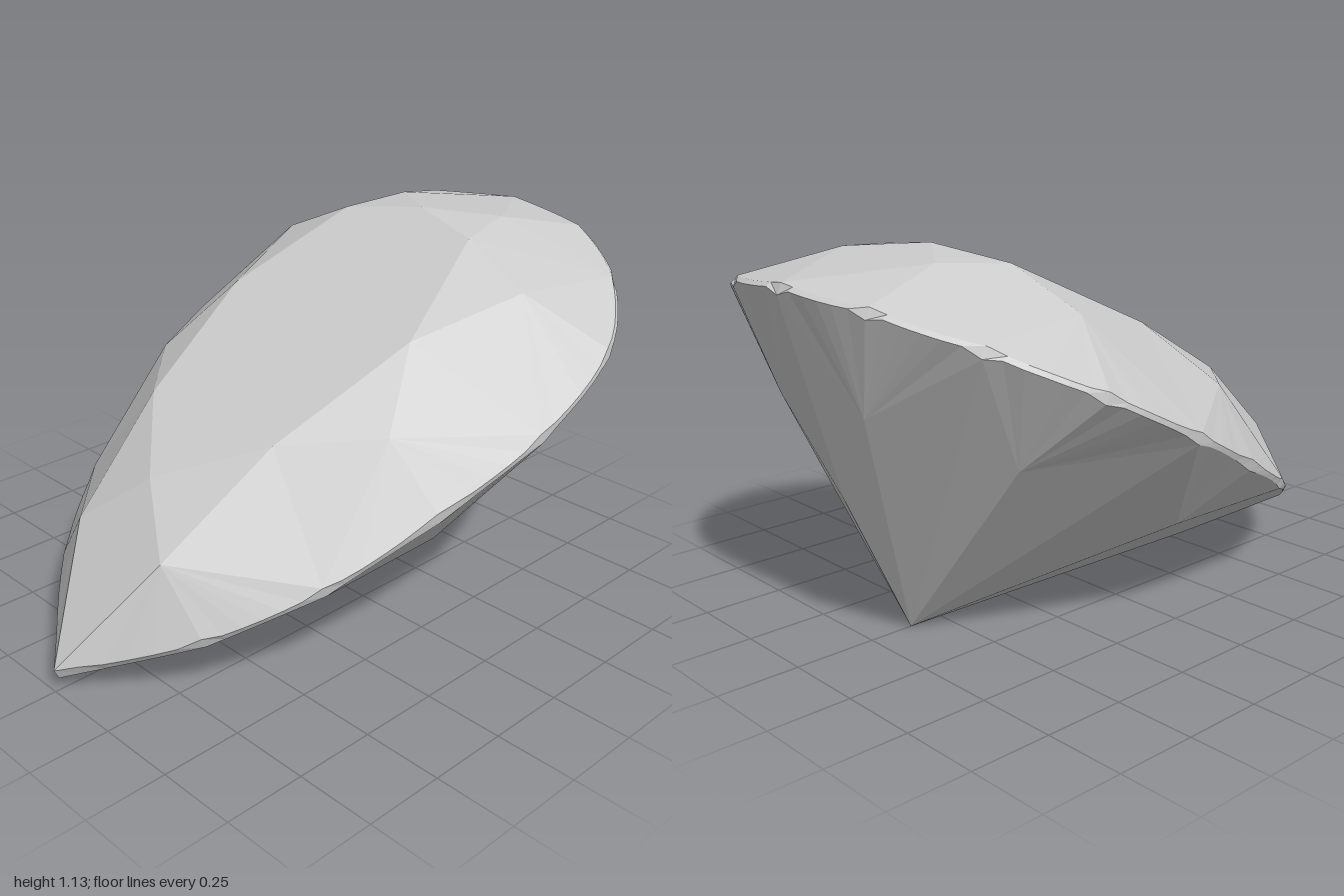
import * as THREE from 'three';

const V = (x, y, z) => new THREE.Vector3(x, y, z);
const CENTRE = V(0.25, 0.65, 0);
const STEPS = 6; // rim subdivisions per half facet

// Half outline of the pear (x, z), from the point round to the blunt end
const OUTLINE = [[-0.9925, 0], [-0.72, 0.33], [-0.45, 0.53], [-0.13, 0.66], [0.2, 0.75],
  [0.53, 0.73], [0.78, 0.56], [0.94, 0.31], [0.9925, 0]];

// Table corners, one above each main facet
const TABLE = [[-0.63, 0], [-0.4, 0.27], [0.04, 0.38], [0.43, 0.26], [0.5, 0]]
  .map(([x, z]) => V(x, 0.873 + 0.513 * x, z));

// Points where neighbouring main facets meet
const UPPER = [V(-0.75, 0.395, 0.19), V(-0.17, 0.695, 0.5), V(0.4, 0.985, 0.5), V(0.65, 1.112, 0.21)];
const LOWER = [V(-0.4, 0.08, 0.17), V(0.02, 0.31, 0.515), V(0.62, 0.6, 0.5), V(0.885, 0.73, 0.2)];
const CULET = V(0.61, 0, 0);
const KEEL = V(-0.37, 0.005, 0);
const HEEL = V(0.82, 0.44, 0);

// Rim on the tilted girdle plane: side +1 is its top edge, -1 its bottom edge
const rimPoint = (x, z, side) => V(x - side * 0.0075, 0.557 + 0.506 * x + side * 0.0155, z);

// Height at (x, z) of the plane through three points
function planeY(a, b, c, p) {
  const n = b.clone().sub(a).cross(c.clone().sub(a));
  return a.y - (n.x * (p.x - a.x) + n.z * (p.z - a.z)) / n.y;
}

// Scalloped top and bottom edges of the girdle, one arc per half facet
function buildArcs() {
  const mirrored = OUTLINE.slice(0, -1).reverse().map(([x, z]) => [x, -z]);
  const curve = new THREE.CatmullRomCurve3([...OUTLINE, ...mirrored].map(([x, z]) => V(x, 0, z)));
  const arcs = [];
  for (let i = 0; i < 8; i++) {
    const ends = side => [i, i + 1].map(k => rimPoint(...OUTLINE[k], side));
    const [ta, tb] = ends(1), [ba, bb] = ends(-1);
    const j = i >> 1;
    const top = [], bottom = [];
    for (let k = 0; k <= STEPS; k++) {
      const c = curve.getPoint((i + k / STEPS) / 16);
      const t = rimPoint(c.x, c.z, 1), b = rimPoint(c.x, c.z, -1);
      if (k > 0 && k < STEPS) {
        t.y = THREE.MathUtils.clamp(planeY(UPPER[j], ta, tb, t), t.y - 0.01, t.y);
        b.y = THREE.MathUtils.clamp(planeY(LOWER[j], ba, bb, b), b.y, t.y - 0.01);
      }
      top.push(t);
      bottom.push(b);
    }
    arcs.push({ top, bottom });
  }
  return arcs;
}

// Fans each facet into outward-facing triangles, on both sides of z = 0
function facetMesh(name, facets) {
  const pos = [];
  for (const s of [1, -1]) {
    for (const facet of facets) {
      const p = facet.map(v => V(v.x, v.y, v.z * s));
      for (let i = 1; i < p.length - 1; i++) {
        const tri = [p[0], p[i], p[i + 1]];
        const n = tri[1].clone().sub(tri[0]).cross(tri[2].clone().sub(tri[0]));
        if (n.length() < 1e-9) continue;
        if (n.dot(tri[0].clone().sub(CENTRE)) < 0) tri.reverse();
        tri.forEach(v => pos.push(v.x, v.y, v.z));
      }
    }
  }
  const geo = new THREE.BufferGeometry();
  geo.setAttribute('position', new THREE.Float32BufferAttribute(pos, 3));
  geo.computeVertexNormals();
  const mesh = new THREE.Mesh(geo, new THREE.MeshStandardMaterial({ color: 0xcccccc, flatShading: true }));
  mesh.name = name;
  return mesh;
}

export function createModel() {
  const arcs = buildArcs();
  const rim = (m, edge) => (m < 4 ? arcs[2 * m][edge][0] : arcs[7][edge][STEPS]);

  const crown = [], pavilion = [], girdle = [];
  for (let j = 0; j < 4; j++) {
    // Star facet and the two halves of the kites beside it
    crown.push([UPPER[j], TABLE[j], TABLE[j + 1]]);
    crown.push([UPPER[j], TABLE[j], rim(j, 'top')], [UPPER[j], TABLE[j + 1], rim(j + 1, 'top')]);
  }
  arcs.forEach(({ top, bottom }, i) => {
    // Half facets above and below the girdle
    crown.push([UPPER[i >> 1], ...top]);
    pavilion.push([LOWER[i >> 1], ...bottom]);
    for (let k = 0; k < STEPS; k++) girdle.push([top[k], top[k + 1], bottom[k + 1], bottom[k]]);
  });

  // Main facets under the girdle
  pavilion.push(
    [rim(0, 'bottom'), LOWER[0], KEEL],
    [LOWER[0], rim(1, 'bottom'), LOWER[1], CULET, KEEL],
    [CULET, LOWER[1], rim(2, 'bottom'), LOWER[2]],
    [CULET, LOWER[2], rim(3, 'bottom'), LOWER[3], HEEL],
    [HEEL, LOWER[3], rim(4, 'bottom')]);

  const gem = new THREE.Group();
  gem.name = 'pearCutGem';
  gem.add(facetMesh('table', [TABLE]), facetMesh('crown', crown),
    facetMesh('girdle', girdle), facetMesh('pavilion', pavilion));
  return gem;
}
